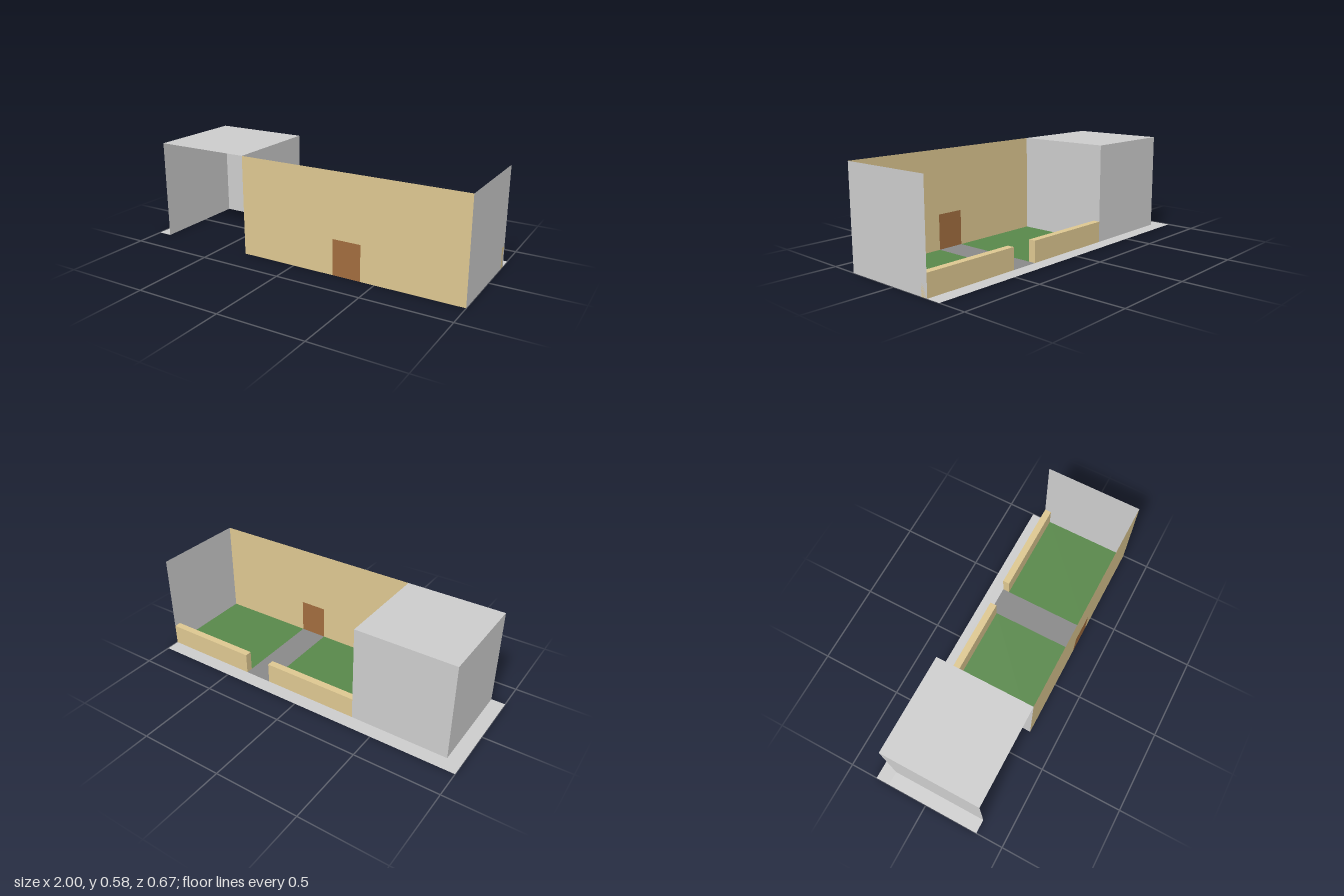
import * as THREE from 'three';

const U = 1 / 24; // layout grid unit
const material = (color) => new THREE.MeshStandardMaterial({ color, side: THREE.DoubleSide, flatShading: true });

export function createModel() {
  const model = new THREE.Group();
  const grey = material(0xcccccc);
  const tan = material(0xdcc690);
  const green = material(0x58874a);
  const paving = material(0x888888);
  const brown = material(0xa06c3e);

  const add = (parent, name, geometry, mat) => {
    const mesh = new THREE.Mesh(geometry, mat);
    mesh.name = name;
    parent.add(mesh);
    return mesh;
  };

  // Thin panels given by their extents in grid units
  const floor = (parent, name, mat, x0, x1, z0, z1, y = 0) =>
    add(parent, name, new THREE.PlaneGeometry((x1 - x0) * U, (z1 - z0) * U).rotateX(-Math.PI / 2), mat)
      .position.set((x0 + x1) / 2 * U, y * U, (z0 + z1) / 2 * U);
  const facing = (parent, name, mat, x0, x1, y1, z, turn = 0) =>
    add(parent, name, new THREE.PlaneGeometry((x1 - x0) * U, y1 * U).rotateY(turn), mat)
      .position.set((x0 + x1) / 2 * U, y1 / 2 * U, z * U);
  const side = (parent, name, mat, x, z0, z1, y1, turn) =>
    add(parent, name, new THREE.PlaneGeometry((z1 - z0) * U, y1 * U).rotateY(turn * Math.PI / 2), mat)
      .position.set(x * U, y1 / 2 * U, (z0 + z1) / 2 * U);

  // Building block, open at the front and underneath
  const block = new THREE.Group();
  block.name = 'buildingBlock';
  model.add(block);
  side(block, 'outerWall', grey, -22, -6, 8, 14, -1);
  side(block, 'innerWall', grey, -8, -6, 8, 14, 1);
  facing(block, 'backWall', grey, -22, -8, 14, -6, Math.PI);
  floor(block, 'roof', grey, -22, -8, -6, 8, 14);

  // Front wall with a doorway notch, and the door filling it
  const outline = [[-8, 0], [6, 0], [6, 5], [10, 5], [10, 0], [24, 0], [24, 14], [-8, 14]];
  const wallShape = new THREE.Shape(outline.map(([x, y]) => new THREE.Vector2(x * U, y * U)));
  add(model, 'frontWall', new THREE.ShapeGeometry(wallShape), tan).position.z = 8 * U;
  facing(model, 'door', brown, 6, 10, 5, 8);

  // Far side wall of the yard
  side(model, 'sideWall', grey, 24, -6, 8, 14, 1);

  // Lawns and low garden walls on both sides of the path
  for (const [prefix, x0, x1] of [['right', -8, 6], ['left', 10, 24]]) {
    floor(model, prefix + 'Lawn', green, x0, x1, -5, 8);
    add(model, prefix + 'GardenWall', new THREE.BoxGeometry((x1 - x0) * U, 3 * U, U), tan)
      .position.set((x0 + x1) / 2 * U, 1.5 * U, -5.5 * U);
  }
  floor(model, 'path', paving, 6, 10, -6, 8);

  // L-shaped pavement along the back and the outer side
  floor(model, 'backPavement', grey, -24, 24, -8, -6);
  floor(model, 'sidePavement', grey, -24, -22, -6, 8);

  return model;
}
